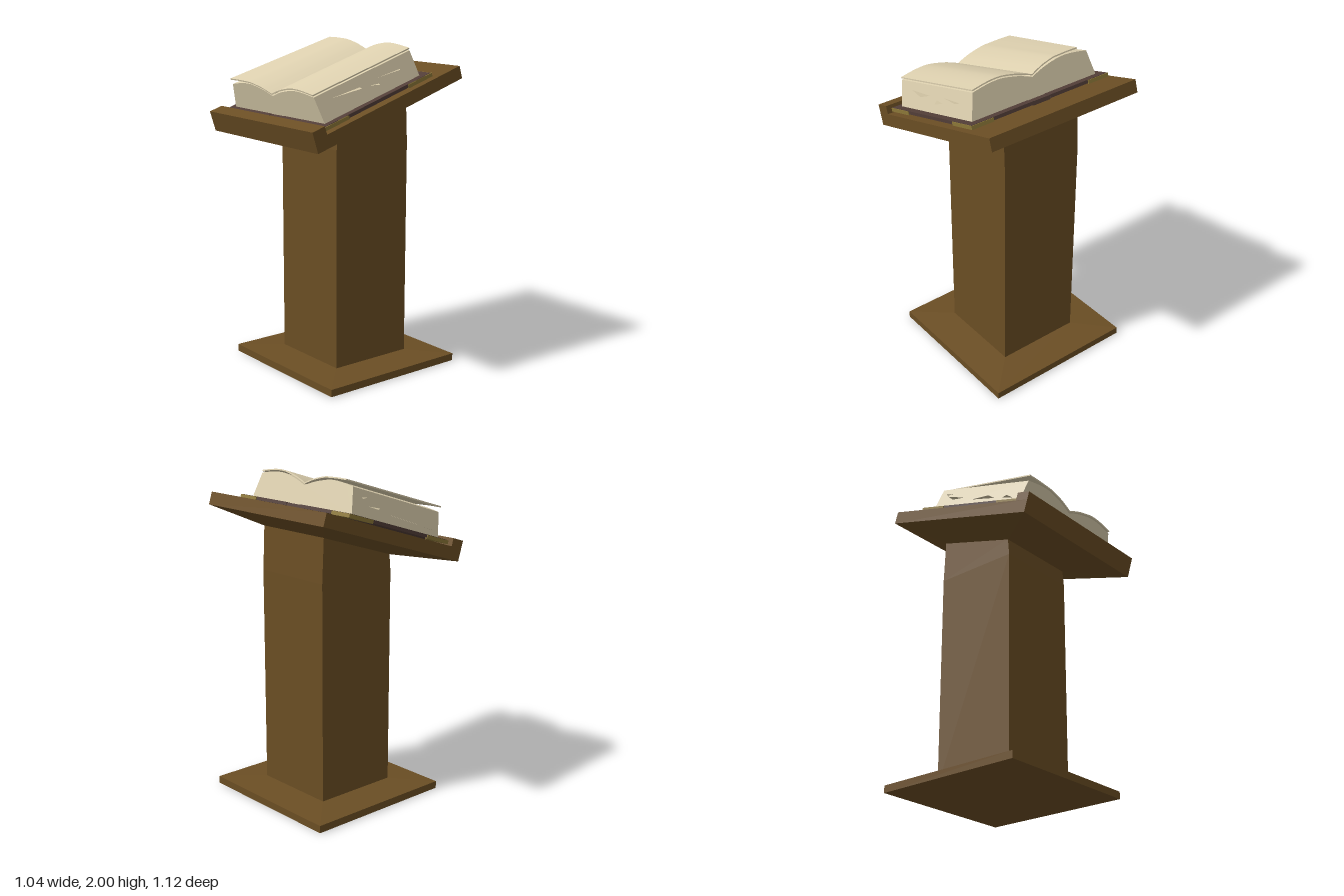
import * as THREE from 'three';
import { toCreasedNormals } from 'three/addons/utils/BufferGeometryUtils.js';

const material = (name, color, side = THREE.FrontSide) => {
  const m = new THREE.MeshStandardMaterial({ color, side });
  m.name = name;
  return m;
};

// Four corners of a cross-section: half width, front z/y and back z/y
const ring = (x, zf, yf, zb, yb = yf) => [[-x, yf, zf], [x, yf, zf], [x, yb, zb], [-x, yb, zb]];

// Flat-sided solid through four-cornered rings, listed bottom to top
function loft(rings) {
  const pos = [];
  const quad = (a, b, c, d) => pos.push(...a, ...b, ...c, ...a, ...c, ...d);
  for (let r = 0; r < rings.length - 1; r++) {
    for (let i = 0; i < 4; i++) {
      const j = (i + 1) % 4;
      quad(rings[r][i], rings[r][j], rings[r + 1][j], rings[r + 1][i]);
    }
  }
  const [a, b, c, d] = rings[0];
  quad(d, c, b, a);
  quad(...rings[rings.length - 1]);
  const g = new THREE.BufferGeometry();
  g.setAttribute('position', new THREE.Float32BufferAttribute(pos, 3));
  g.computeVertexNormals();
  return g;
}

// Box from its limits
function slab(x0, x1, y0, y1, z0, z1) {
  return new THREE.BoxGeometry(x1 - x0, y1 - y0, z1 - z0)
    .translate((x0 + x1) / 2, (y0 + y1) / 2, (z0 + z1) / 2);
}

// Swelling top line of one page half, from gutter to outer edge
function pageLine(side, drop, edge = [[0.32, 0.214], [0.405, 0.2]]) {
  const pts = [[0, 0.165], [0.04, 0.18], [0.1, 0.199], [0.19, 0.217], [0.25, 0.22], ...edge];
  const curve = new THREE.SplineCurve(pts.map(([x, y]) => new THREE.Vector2(x * side, y - drop)));
  return curve.getPoints(18);
}

function extrude(points, z0, z1) {
  const g = new THREE.ExtrudeGeometry(new THREE.Shape(points), { depth: z1 - z0, bevelEnabled: false });
  return g.translate(0, 0, z0);
}

export function createModel() {
  const model = new THREE.Group();
  model.name = 'lecternWithBook';
  const wood = material('wood', 0x6b4e24);
  const paper = material('paper', 0xdccfae);
  const scrapPaper = material('scrapPaper', 0xd2c5a4, THREE.DoubleSide);
  const leather = material('leather', 0x523e38);
  const brass = material('brass', 0x8c7738);
  const add = (parent, name, geometry, mat) => {
    const mesh = new THREE.Mesh(geometry, mat);
    mesh.name = name;
    parent.add(mesh);
    return mesh;
  };

  // Foot plate with a shallow slope up to the column
  add(model, 'base', loft([
    ring(0.49, 0.412, 0, -0.56), ring(0.49, 0.412, 0.045, -0.56), ring(0.27, 0.2, 0.06, -0.345),
  ]), wood);

  // Column, cut at the slant of the desk
  add(model, 'column', loft([
    ring(0.27, 0.2, 0.05, -0.345), ring(0.27, 0.2, 1.4, -0.345), ring(0.27, 0.19, 1.508, -0.332, 1.672),
  ]), wood);

  // Everything above is built level, then tilted
  const desk = new THREE.Group();
  desk.name = 'desk';
  desk.position.y = 1.698;
  desk.rotation.x = 0.304;
  model.add(desk);
  add(desk, 'deskBoard', loft([
    ring(0.27, 0.239, -0.128, -0.305), ring(0.52, 0.575, -0.078, -0.556), ring(0.52, 0.575, 0, -0.556),
  ]), wood);
  add(desk, 'bookLedge', slab(-0.52, 0.52, 0, 0.05, 0.486, 0.575), wood);

  const book = new THREE.Group();
  book.name = 'book';
  desk.add(book);

  // Cover boards and spine
  for (const s of [-1, 1]) {
    const [a, b] = [s * 0.06, s * 0.485].sort((p, q) => p - q);
    add(book, 'coverBoard', slab(a, b, 0.012, 0.032, -0.354, 0.476), leather);
  }
  add(book, 'spine', slab(-0.06, 0.06, 0.006, 0.03, -0.351, 0.473), leather);

  // Metal corner guards, showing around the cover edge
  for (const s of [-1, 1]) {
    for (const [edge, dir] of [[-0.36, 1], [0.481, -1]]) {
      const corner = new THREE.Shape([[0.49, 0], [0.49, 0.19], [0.472, 0.19], [0.34, 0.02], [0.34, 0]]
        .map(([x, z]) => new THREE.Vector2(x * s, -(edge + z * dir))));
      const g = new THREE.ExtrudeGeometry(corner, { depth: 0.022, bevelEnabled: false });
      add(book, 'cornerGuard', g.rotateX(-Math.PI / 2).translate(0, 0.008, 0), brass);
    }
  }

  // Page block with sloping fore edges and a swelling top
  const outline = [
    new THREE.Vector2(-0.445, 0.03), new THREE.Vector2(0.445, 0.03),
    ...pageLine(1, 0.016).reverse(), ...pageLine(-1, 0.016).slice(1),
  ];
  add(book, 'pageBlock', toCreasedNormals(extrude(outline, -0.302, 0.432), 0.35), paper);

  // Open top sheets; the left one lies askew and lifts at its edge
  for (const s of [1, -1]) {
    const edge = s < 0 ? [[0.32, 0.222], [0.405, 0.221]] : undefined;
    const sheet = [...pageLine(s, 0.008, edge), ...pageLine(s, 0, edge).reverse()];
    const g = extrude(sheet, -0.304, 0.436);
    if (s < 0) {
      const p = g.attributes.position;
      for (let i = 0; i < p.count; i++) {
        const t = (p.getZ(i) + 0.304) / 0.74;
        p.setX(i, p.getX(i) * THREE.MathUtils.lerp(0.34, 0.41, t) / 0.405);
      }
      g.computeVertexNormals();
    }
    add(book, s < 0 ? 'leftSheet' : 'rightSheet', toCreasedNormals(g, 0.35), paper);
  }

  // Torn page scraps poking out: height, then three x, z corners
  const scraps = [
    [0.1, [-0.485, -0.15], [-0.42, -0.175], [-0.42, -0.07]],
    [0.08, [-0.485, 0.205], [-0.415, 0.205], [-0.415, -0.05]],
    [0.07, [-0.485, 0.36], [-0.42, 0.36], [-0.42, 0.25]],
    [0.14, [-0.44, -0.235], [-0.41, -0.235], [-0.41, -0.18]],
    [0.12, [0.41, -0.2], [0.45, -0.165], [0.415, 0.01]],
    [0.1, [0.415, -0.02], [0.468, 0.015], [0.415, 0.06]],
    [0.13, [0.41, 0.12], [0.472, 0.145], [0.41, 0.34]],
  ];
  scraps.forEach(([y, ...corners]) => {
    const g = new THREE.BufferGeometry();
    const pos = corners.flatMap(([x, z], i) => [x, y + (i - 1) * 0.008, z]);
    g.setAttribute('position', new THREE.Float32BufferAttribute(pos, 3));
    g.computeVertexNormals();
    add(book, 'pageScrap', g, scrapPaper);
  });

  return model;
}
